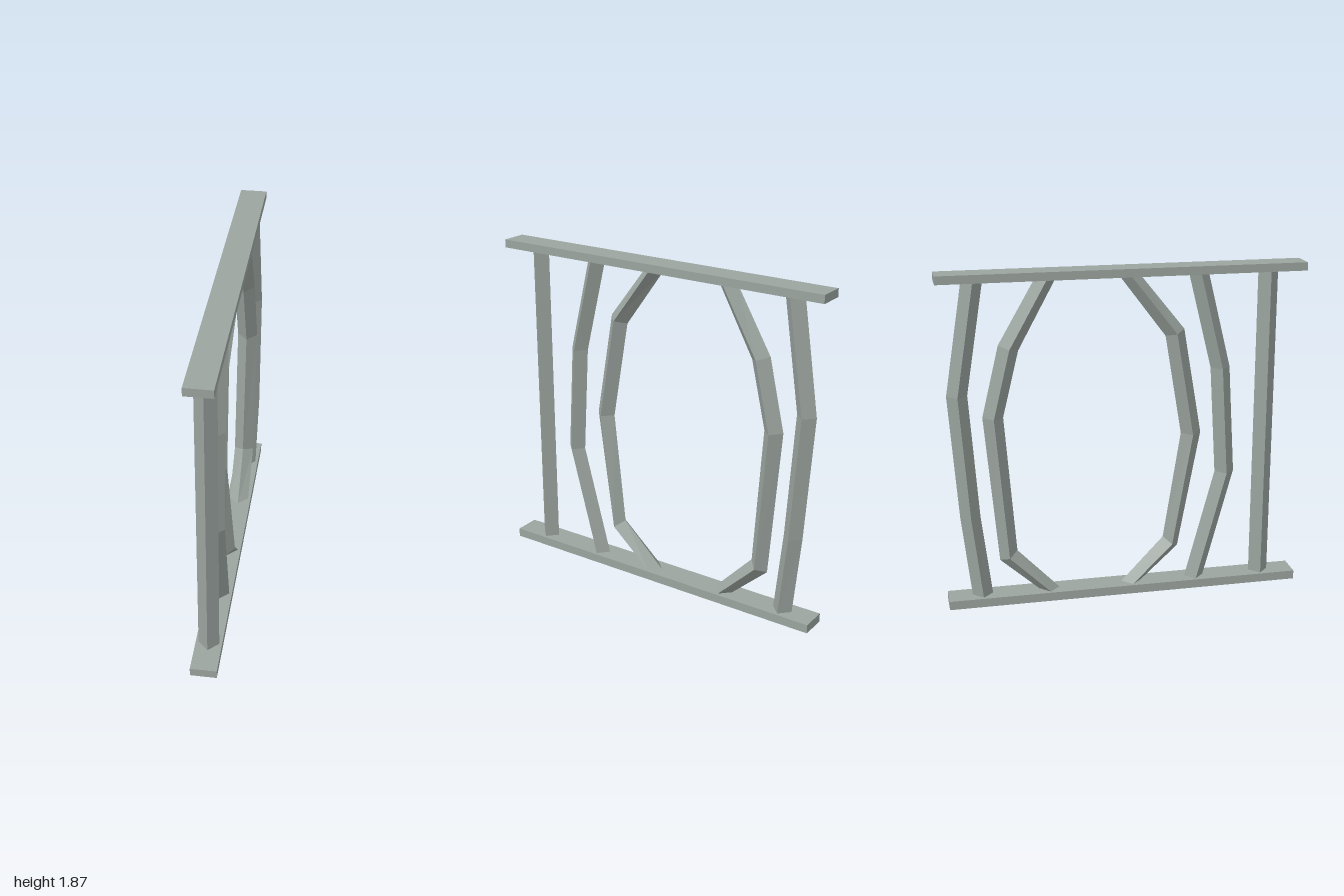
import * as THREE from 'three';

const HALF = 0.057; // half diagonal of the square bar across x
const BOTTOM = 0.05, TOP = 1.82;

// Square bar, corner-on to the side, lofted through mitred sections.
// Each section, bottom to top: [front z, front y, back z, back y, x offset]
function barGeometry(sections) {
  const rings = sections.map(([zf, yf, zb, yb, x = 0]) => {
    const y = (yf + yb) / 2, z = (zf + zb) / 2;
    return [[x, yf, zf], [x + HALF, y, z], [x, yb, zb], [x - HALF, y, z]];
  });
  const pos = [];
  const quad = (a, b, c, d) => pos.push(...a, ...b, ...c, ...a, ...c, ...d);
  for (let s = 0; s < rings.length - 1; s++) {
    const lo = rings[s], hi = rings[s + 1];
    for (let i = 0; i < 4; i++) {
      const n = (i + 1) % 4;
      quad(lo[i], lo[n], hi[n], hi[i]);
    }
  }
  // End caps
  const [a, b, c, d] = rings[0];
  quad(d, c, b, a);
  quad(...rings[rings.length - 1]);
  const geometry = new THREE.BufferGeometry();
  geometry.setAttribute('position', new THREE.Float32BufferAttribute(pos, 3));
  geometry.computeVertexNormals();
  return geometry;
}

export function createModel() {
  const group = new THREE.Group();
  const metal = new THREE.MeshStandardMaterial({ color: 0x9ba49f });
  metal.name = 'greyMetal';

  const add = (name, geometry) => {
    const mesh = new THREE.Mesh(geometry, metal);
    mesh.name = name;
    group.add(mesh);
    return mesh;
  };

  // Flat rails at floor and ceiling
  add('bottomRail', new THREE.BoxGeometry(0.145, 0.05, 2)).position.y = 0.025;
  add('topRail', new THREE.BoxGeometry(0.145, 0.045, 2)).position.y = 1.8425;

  // Bars, from the front to the back
  const bars = {
    straightBar: [
      [0.857, BOTTOM, 0.745, BOTTOM],
      [0.857, TOP, 0.745, TOP],
    ],
    frontBentBar: [
      [0.467, BOTTOM, 0.357, BOTTOM],
      [0.635, 0.68, 0.525, 0.68],
      [0.597, 1.29, 0.488, 1.29],
      [0.467, TOP, 0.357, TOP],
    ],
    frontSpreadBar: [
      [0.1, BOTTOM, -0.015, BOTTOM],
      [0.315, 0.24, 0.23, 0.3, 0.013],
      [0.432, 0.927, 0.32, 0.927, -0.016],
      [0.33, 1.52, 0.226, 1.485, -0.02],
      [0.09, TOP, -0.025, TOP],
    ],
    backSpreadBar: [
      [-0.375, BOTTOM, -0.49, BOTTOM],
      [-0.608, 0.295, -0.706, 0.245],
      [-0.663, 1.072, -0.775, 1.078, 0.008],
      [-0.573, 1.44, -0.68, 1.473],
      [-0.365, TOP, -0.478, TOP],
    ],
    backBentBar: [
      [-0.752, BOTTOM, -0.866, BOTTOM],
      [-0.805, 0.51, -0.916, 0.51, 0.012],
      [-0.85, 1.205, -0.962, 1.205, 0.012],
      [-0.75, TOP, -0.862, TOP],
    ],
  };
  for (const [name, sections] of Object.entries(bars)) add(name, barGeometry(sections));

  return group;
}
